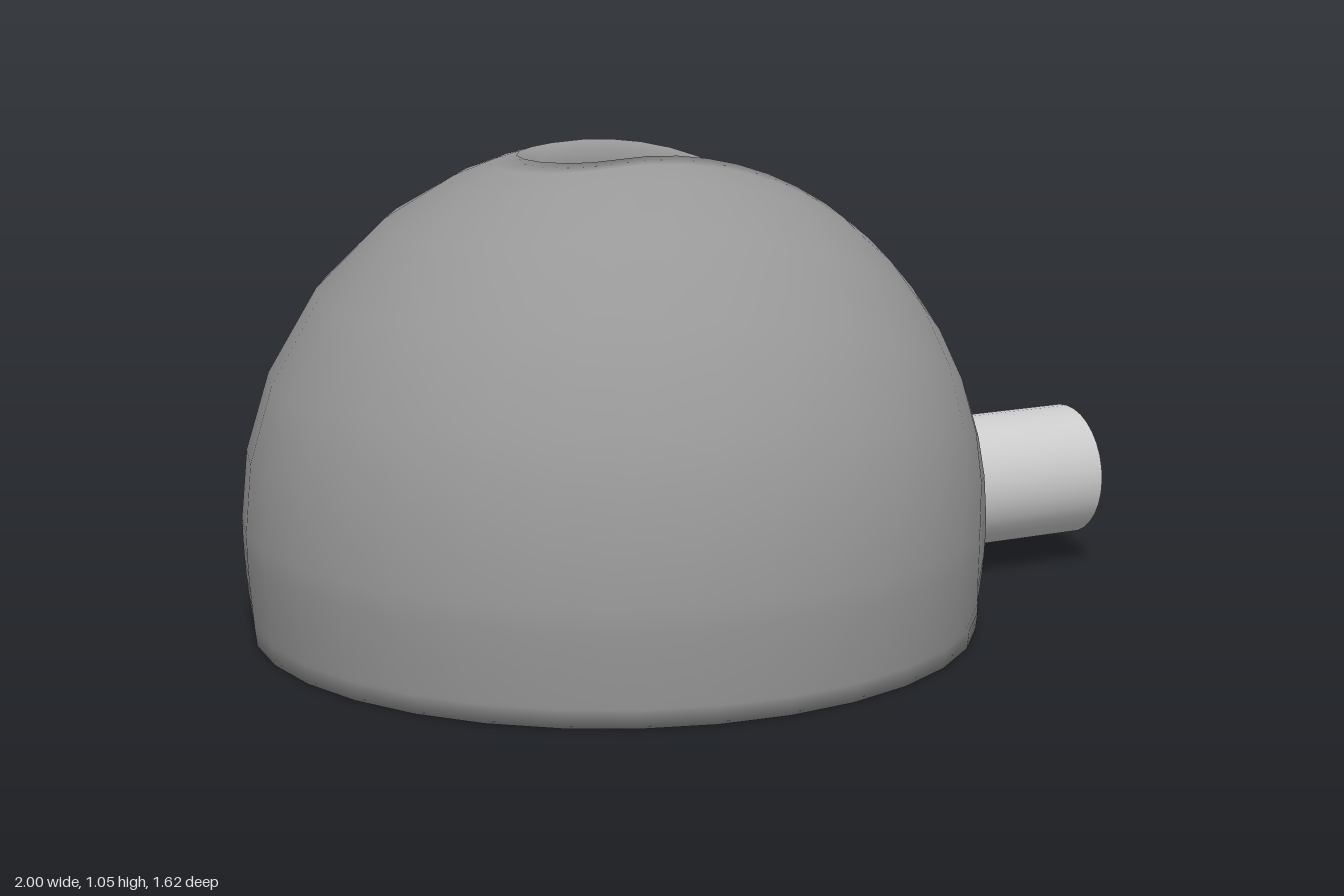
import * as THREE from 'three';
import { mergeGeometries, mergeVertices } from 'three/addons/utils/BufferGeometryUtils.js';

const R = 0.813, CX = -0.19, CY = 0.25;            // dome sphere
const SLOT_R = 0.16, SLOT_Y = 0.2;                 // slot half width and trough centre height
const SLOT_X = -0.26, END_SQUASH = 0.88;           // centre and flattening of the slot's round end
const COLS = 32, FOOT_R = 0.795;
const LOW = [0.04, 0.05, 0.08, 0.12, 0.16, 0.2, CY];   // heights from trough floor to equator
const RISE = [0.17, 0.33, 0.5, 0.67, 0.83, 0.93, 1];   // steps from equator to slot rim

// Surface through rows x cols of points
function grid(rows, point, flip = false) {
  const pos = [], index = [];
  for (let i = 0; i <= rows; i++)
    for (let j = 0; j <= COLS; j++) pos.push(...point(i, j / COLS).toArray());
  for (let i = 0; i < rows; i++)
    for (let j = 0; j < COLS; j++) {
      const a = i * (COLS + 1) + j, b = a + COLS + 1;
      if (flip) index.push(a, a + 1, b, b, a + 1, b + 1);
      else index.push(a, b, a + 1, b, b + 1, a + 1);
    }
  const g = new THREE.BufferGeometry();
  g.setAttribute('position', new THREE.Float32BufferAttribute(pos, 3));
  g.setIndex(index);
  return g;
}

const radiusAt = y => FOOT_R + (R - FOOT_R) * Math.sin((Math.min(y / CY, 1) * Math.PI) / 2);
const halfWidth = y => y >= SLOT_Y ? SLOT_R : Math.sqrt(Math.max(0, SLOT_R ** 2 - (SLOT_Y - y) ** 2));

// Outer outline at height y, running from one lip of the slot round to the other
function outerPoint(u, y) {
  const r = radiusAt(y), gap = Math.asin(halfWidth(y) / r);
  const t = gap + u * 2 * (Math.PI - gap);
  return new THREE.Vector3(CX + r * Math.cos(t), y, r * Math.sin(t));
}

// U-shaped slot outline at height y: straight side, round end, straight side
function slotPoint(u, y) {
  const w = halfWidth(y), mouth = CX + Math.sqrt(radiusAt(y) ** 2 - w * w);
  const side = Math.min(u, 1 - u) / 0.375;
  if (side < 1) return new THREE.Vector3(THREE.MathUtils.lerp(mouth, SLOT_X, side), y, u < 0.5 ? w : -w);
  const t = Math.PI / 2 + ((u - 0.375) / 0.25) * Math.PI;
  return new THREE.Vector3(SLOT_X + END_SQUASH * w * Math.cos(t), y, w * Math.sin(t));
}

// Slot edge lifted onto the dome sphere
function slotRim(u) {
  const p = slotPoint(u, CY);
  p.y = CY + Math.sqrt(Math.max(0, R * R - (p.x - CX) ** 2 - p.z ** 2));
  return p;
}

export function createModel() {
  const model = new THREE.Group();
  const add = (name, geometry, color) => {
    const mesh = new THREE.Mesh(geometry, new THREE.MeshStandardMaterial({ color }));
    mesh.name = name;
    model.add(mesh);
    return mesh;
  };

  // Dome skin: upright band below the equator, then arcs from the equator to the slot edge
  const band = [0, ...LOW];
  const centre = new THREE.Vector3(CX, CY, 0);
  const skin = grid(band.length - 1 + RISE.length, (i, u) => {
    if (i < band.length) return outerPoint(u, band[i]);
    const from = outerPoint(u, CY).sub(centre), to = slotRim(u).sub(centre);
    return from.lerp(to, RISE[i - band.length]).setLength(R).add(centre);
  });

  // Slot: round-bottomed trough with upright walls up to the dome skin
  const slot = grid(LOW.length - 1 + RISE.length, (i, u) => {
    if (i < LOW.length) return slotPoint(u, LOW[i]);
    return slotPoint(u, CY).lerp(slotRim(u), RISE[i - LOW.length]);
  }, true);

  // Flat underside
  const base = grid(1, (i, u) => i ? outerPoint(u, 0) : new THREE.Vector3(CX, 0, 0));

  // Weld the dome so that shading rolls softly over its edges
  const dome = mergeVertices(mergeGeometries([skin, slot, base]));
  dome.computeVertexNormals();
  add('dome', dome, 0x989898);

  // Barrel: smooth lathe with a short blind bore
  const profile = [[0, 0], [0.152, 0], [0.152, 1.19], [0.107, 1.19], [0.107, 1.04], [0, 1.04]]
    .map(p => new THREE.Vector2(...p));
  const barrel = add('barrel', new THREE.LatheGeometry(profile, 32).rotateZ(-Math.PI / 2), 0xcccccc);
  barrel.position.set(CX, 0.212, 0);

  return model;
}
